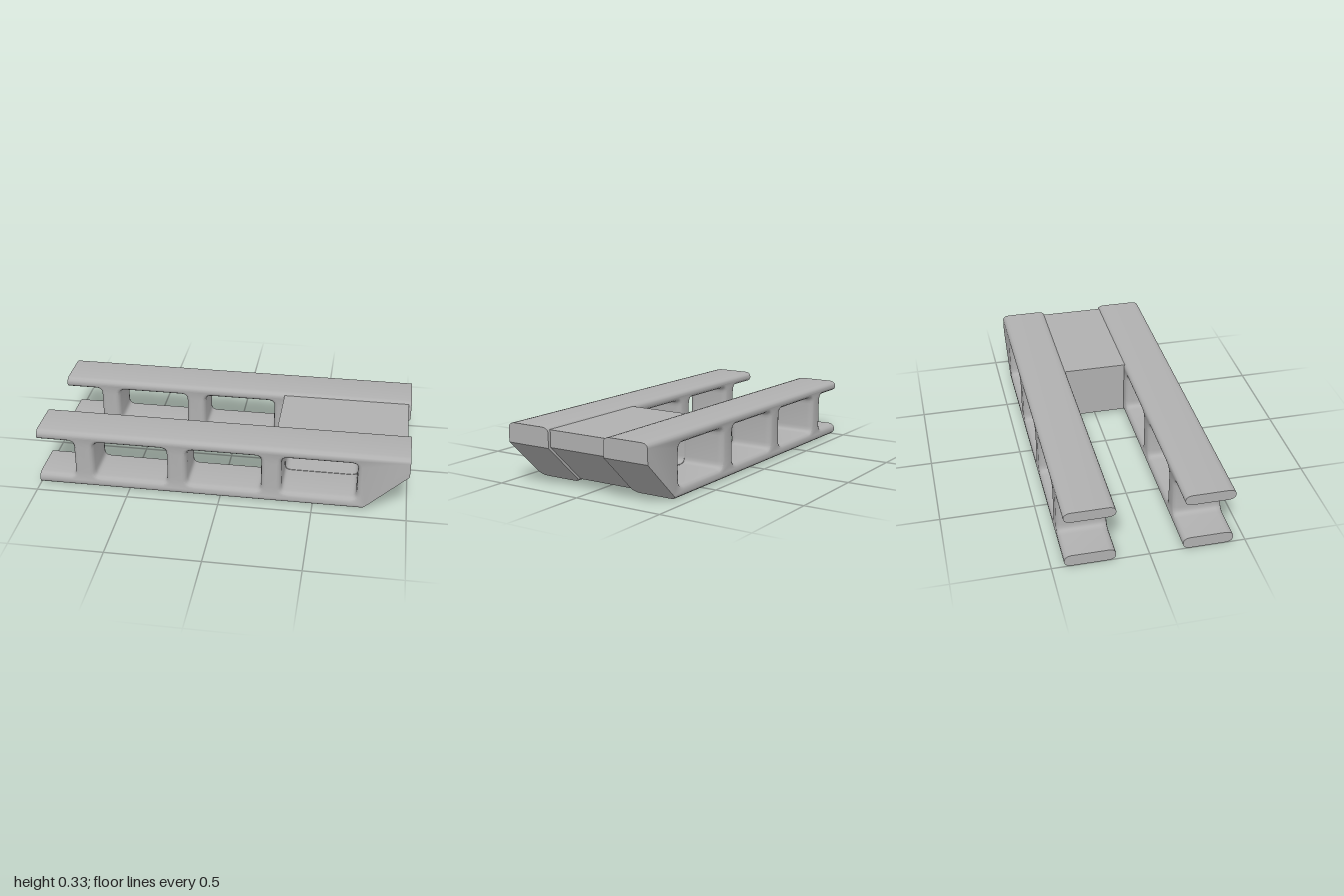
import * as THREE from 'three';
import { toCreasedNormals } from 'three/addons/utils/BufferGeometryUtils.js';

const HEIGHT = 0.333;
const INNER = 0.173, OUTER = 0.435;      // rail extent in z
const BEVEL = 0.025, BEVEL_DEPTH = 0.035;
const LOW = 0.065, HIGH = 0.275;         // window sill and lintel
const RADIUS = 0.035;                    // window corner radius
const NOSE = 0.228;                      // height where the slanted nose begins
const slantX = (y) => 0.755 + (y / NOSE) * 0.245;

// Rounded window, grown by g on every side
function windowPath(x0, x1, g) {
  const l = x0 - g, r = x1 + g, b = LOW - g, t = HIGH + g, c = RADIUS + g;
  const p = new THREE.Path();
  p.moveTo(l + c, b);
  p.lineTo(r - c, b).quadraticCurveTo(r, b, r, b + c);
  p.lineTo(r, t - c).quadraticCurveTo(r, t, r - c, t);
  p.lineTo(l + c, t).quadraticCurveTo(l, t, l, t - c);
  p.lineTo(l, b + c).quadraticCurveTo(l, b, l + c, b);
  return p;
}

// Side rail: rounded along its length and around the windows, cut flat at both ends
function railGeometry() {
  const b = BEVEL, c = RADIUS + b, n = -0.8 + b;
  const s = new THREE.Shape();
  s.moveTo(-1, b);
  s.lineTo(slantX(b), b);
  s.lineTo(1, NOSE);
  s.lineTo(1, HEIGHT - b);
  s.lineTo(-1, HEIGHT - b);
  // open notch at the tail
  s.lineTo(-1, HIGH + b);
  s.lineTo(n - c, HIGH + b).quadraticCurveTo(n, HIGH + b, n, HIGH + b - c);
  s.lineTo(n, LOW - b + c).quadraticCurveTo(n, LOW - b, n - c, LOW - b);
  s.lineTo(-1, LOW - b);
  s.closePath();
  for (const [x0, x1] of [[-0.69, -0.29], [-0.18, 0.22], [0.33, 0.73]]) {
    s.holes.push(windowPath(x0, x1, b));
  }
  const depth = OUTER - INNER - 2 * BEVEL_DEPTH;
  const g = new THREE.ExtrudeGeometry(s, {
    depth, bevelEnabled: true, bevelSize: b, bevelThickness: BEVEL_DEPTH,
    bevelSegments: 3, curveSegments: 5,
  });
  g.translate(0, 0, -depth / 2);
  // flatten the ends and the slanted nose
  const p = g.attributes.position;
  for (let i = 0; i < p.count; i++) {
    const x = p.getX(i), y = p.getY(i);
    if (x < -0.95) p.setX(i, -1);
    else if (x > 0.95) {
      p.setX(i, 1);
      if (y < 0.27) p.setY(i, NOSE);
    } else if (x > 0.6 && y < 0.03) p.setX(i, slantX(y));
  }
  return toCreasedNormals(g, 0.6);
}

// Hollow block joining the rails at the nose
function bridgeGeometry() {
  const s = new THREE.Shape();
  s.moveTo(0.28, 0.015);
  s.lineTo(0.752, 0.015);
  s.lineTo(0.983, 0.23);
  s.lineTo(0.983, 0.321);
  s.lineTo(0.28, 0.321);
  s.closePath();
  s.holes.push(windowPath(0.33, 0.73, 0));
  const g = new THREE.ExtrudeGeometry(s, { depth: 0.39, bevelEnabled: false, curveSegments: 5 });
  g.translate(0, 0, -0.195);
  return toCreasedNormals(g, 0.6);
}

export function createModel() {
  const group = new THREE.Group();
  group.name = 'twinRailFrame';
  const grey = new THREE.MeshStandardMaterial({ color: 0xb0b0b0 });
  grey.name = 'grey';

  const rail = railGeometry();
  for (const [name, side] of [['frontRail', 1], ['backRail', -1]]) {
    const mesh = new THREE.Mesh(rail, grey);
    mesh.name = name;
    mesh.position.z = side * (INNER + OUTER) / 2;
    group.add(mesh);
  }
  const bridge = new THREE.Mesh(bridgeGeometry(), grey);
  bridge.name = 'bridge';
  group.add(bridge);
  return group;
}
